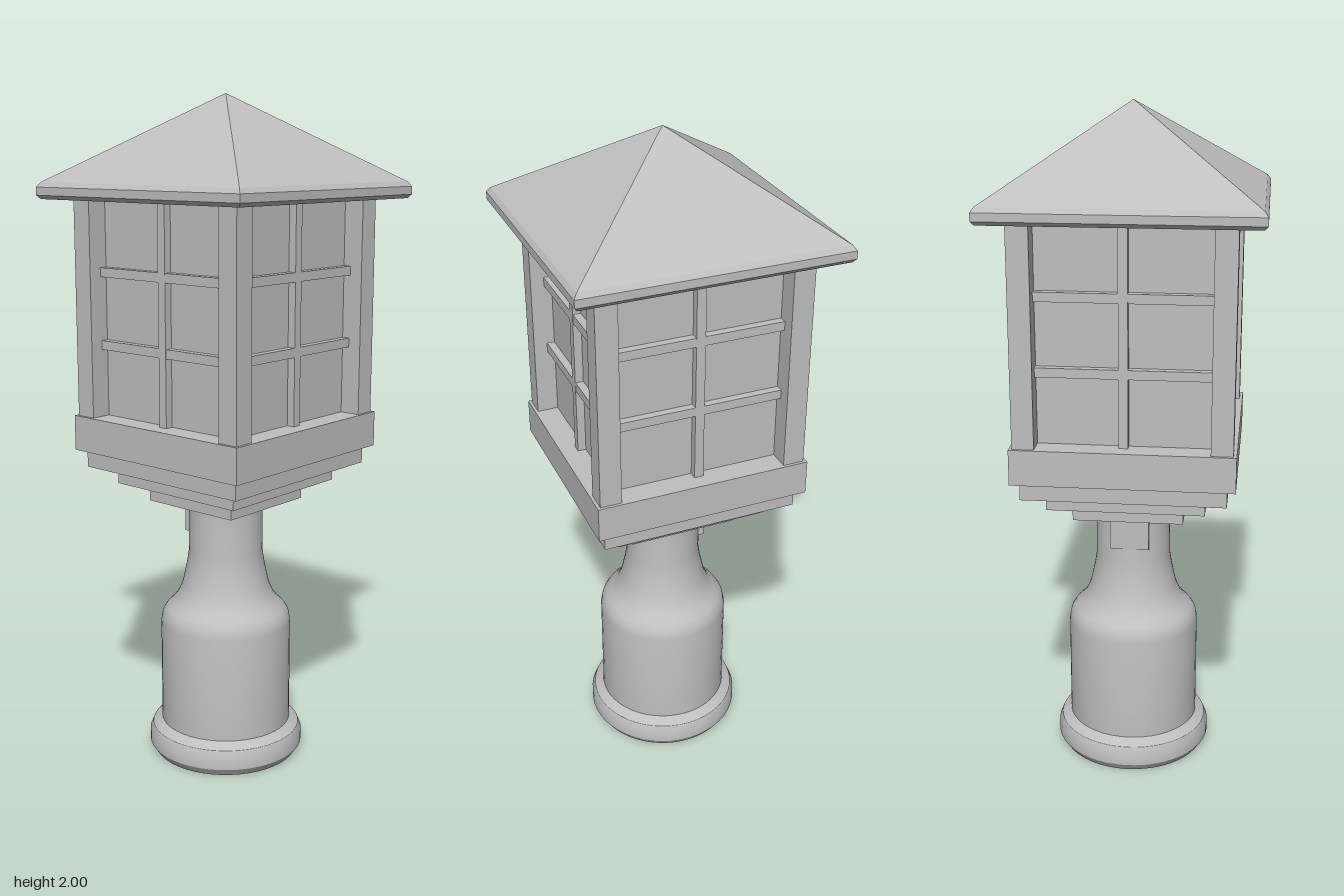
import * as THREE from 'three';
import { toCreasedNormals } from 'three/addons/utils/BufferGeometryUtils.js';

export function createModel() {
  const model = new THREE.Group();
  model.name = 'lantern';
  const gray = new THREE.MeshStandardMaterial({ color: 0xbfbfbf });
  gray.name = 'gray';

  const add = (parent, name, geometry, x = 0, y = 0, z = 0) => {
    const mesh = new THREE.Mesh(geometry, gray);
    mesh.name = name;
    mesh.position.set(x, y, z);
    parent.add(mesh);
    return mesh;
  };
  // Box given by its bottom and top heights
  const slab = (parent, name, w, d, y0, y1, x = 0, z = 0) =>
    add(parent, name, new THREE.BoxGeometry(w, y1 - y0, d), x, (y0 + y1) / 2, z);
  const lathe = (profile, sides, start, crease) => toCreasedNormals(
    new THREE.LatheGeometry(profile.map(([r, y]) => new THREE.Vector2(r, y)), sides, start), crease);

  // Turned column with a rounded foot and tapered shoulder
  add(model, 'column', lathe([
    [0, 0], [0.222, 0], [0.238, 0.024], [0.238, 0.058], [0.228, 0.082], [0.2, 0.1],
    [0.2, 0.42], [0.195, 0.446], [0.183, 0.465], [0.165, 0.482], [0.148, 0.505],
    [0.133, 0.54], [0.12, 0.6], [0.113, 0.645], [0.113, 0.81],
  ], 48, 0, 0.5));

  // Small box on the back of the neck
  slab(model, 'neckBox', 0.116, 0.1, 0.695, 0.81, 0, -0.065);

  // Stepped base under the lantern, bottom to top
  [[0.163, 0.803, 0.859], [0.23, 0.859, 0.912], [0.294, 0.912, 0.965], [0.319, 0.965, 1.07]]
    .forEach(([h, y0, y1], i) => slab(model, `baseStep${i + 1}`, 2 * h, 2 * h, y0, y1));

  // Window box and corner posts
  const bottom = 1.07, top = 1.706, inner = 0.247, outer = 0.31;
  slab(model, 'windowBox', 2 * inner, 2 * inner, bottom, top);
  const mid = (inner + outer) / 2;
  for (const sx of [-1, 1]) for (const sz of [-1, 1])
    slab(model, 'cornerPost', outer - inner, outer - inner, bottom, top, sx * mid, sz * mid);

  // Glazing bars on all four sides
  for (let i = 0; i < 4; i++) {
    const side = new THREE.Group();
    side.name = 'windowBars';
    side.rotation.y = i * Math.PI / 2;
    slab(side, 'verticalBar', 0.027, 0.031, bottom, top, 0, 0.2555);
    for (const y of [1.27, 1.483])
      slab(side, 'horizontalBar', 2 * inner, 0.03, y, y + 0.027, 0, 0.255);
    model.add(side);
  }

  // Pyramid roof with a bevelled eave
  const roof = [[0, 1.705], [0.376, 1.705], [0.385, 1.716], [0.385, 1.739], [0.375, 1.753], [0, 2]]
    .map(([h, y]) => [h * Math.SQRT2, y]);
  add(model, 'roof', lathe(roof, 4, Math.PI / 4, 0.05));

  return model;
}
